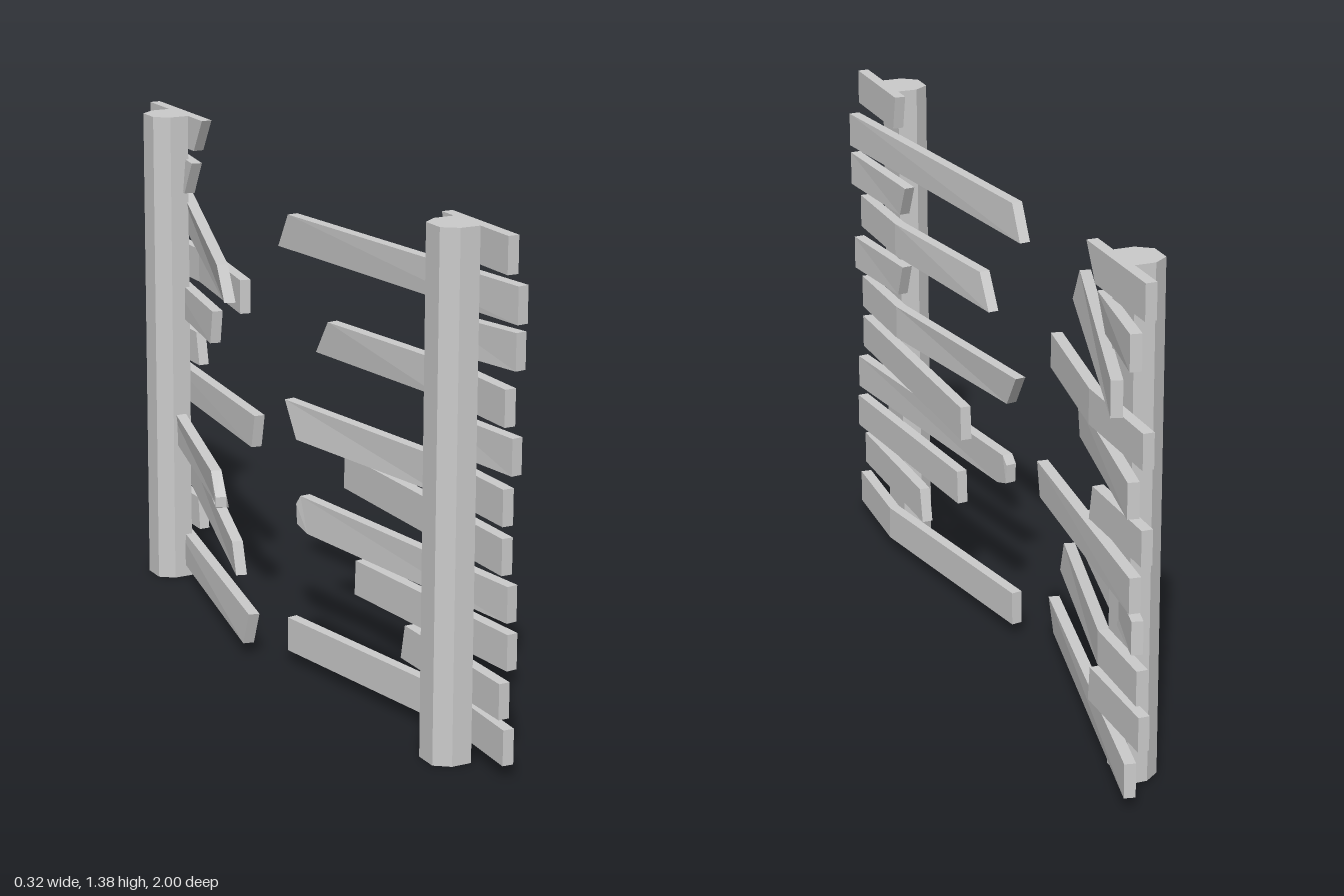
import * as THREE from 'three';

const POST_Z = 0.81, HEIGHT = 1.38, HALF_T = 0.015, PLANK_H = 0.095, STEP = 0.125;

// Fence post: half-octagon section, flat side towards the planks.
function makePost(material) {
  const shape = new THREE.Shape([
    [0.055, -0.063], [0.055, 0.063], [0, 0.063], [-0.04, 0.033], [-0.04, -0.033], [0, -0.063],
  ].map(([x, y]) => new THREE.Vector2(x, y)));
  const geo = new THREE.ExtrudeGeometry(shape, { depth: HEIGHT, bevelEnabled: false });
  geo.rotateX(-Math.PI / 2);
  return new THREE.Mesh(geo, material);
}

// Plank lofted through stations [x, zTop, zBottom, yTop, yBottom]; y is relative to its row.
function makePlank(row, stations, material) {
  const y0 = 0.035 + row * STEP;
  const list = stations.map(([x, zt, zb = zt, yt = PLANK_H, yb = 0]) => ({ x, zt, zb, yt: y0 + yt, yb: y0 + yb }));
  list.sort((a, b) => a.zt + a.zb - b.zt - b.zb);
  const rings = list.map((s, i) => {
    const a = list[Math.max(i - 1, 0)], b = list[Math.min(i + 1, list.length - 1)];
    const dx = b.x - a.x, dz = (b.zt + b.zb - a.zt - a.zb) / 2;
    const len = Math.hypot(dx, dz);
    const nx = HALF_T * dz / len, nz = -HALF_T * dx / len;
    return [
      [s.x - nx, s.yb, s.zb - nz], [s.x + nx, s.yb, s.zb + nz],
      [s.x + nx, s.yt, s.zt + nz], [s.x - nx, s.yt, s.zt - nz],
    ];
  });
  const pos = [];
  const quad = (a, b, c, d) => pos.push(...a, ...b, ...c, ...a, ...c, ...d);
  for (let i = 0; i < rings.length - 1; i++) {
    for (let k = 0; k < 4; k++) {
      const m = (k + 1) % 4;
      quad(rings[i][k], rings[i][m], rings[i + 1][m], rings[i + 1][k]);
    }
  }
  quad(...[...rings[0]].reverse());
  quad(...rings[rings.length - 1]);
  const geo = new THREE.BufferGeometry();
  geo.setAttribute('position', new THREE.Float32BufferAttribute(pos, 3));
  geo.computeVertexNormals();
  return new THREE.Mesh(geo, material);
}

// Rows from the ground up; each runs from its outer end to its broken end.
const FRONT_PLANKS = [
  [[0.085, 1], [0.1, 0.71], [-0.012, 0.027]],
  [[0.07, 1], [0.07, 0.53, 0.51]],
  [[0.09, 1], [0.03, 0.335, 0.33]],
  [[0.087, 1], [-0.022, 0.12, 0.16], [-0.027, 0.105, 0.11, 0.07, 0.015]],
  [[0.07, 1], [0.07, 0.2, 0.195]],
  [[0.07, 1], [0.07, 0.71], [-0.03, 0.045, 0.11]],
  [[0.092, 1], [0.058, 0.685, 0.725]],
  [[0.07, 1], [0.07, 0.71], [0.0, 0.23, 0.165]],
  [[0.1, 0.995, 0.995, 0.105, 0.01], [0.06, 0.65, 0.695, 0.09, 0]],
  [[0.1, 1], [-0.018, 0.04, -0.015]],
  [[0.07, 1], [0.07, 0.69, 0.71]],
];
const BACK_PLANKS = [
  [[0.103, -0.995], [-0.097, -0.035, -0.07]],
  [[0.07, -1], [0.07, -0.7, -0.69]],
  [[0.075, -0.995], [0.07, -0.75], [-0.11, -0.11, -0.085, 0.035, -0.055]],
  [[0.085, -0.985, -0.985, 0.1, 0.01], [-0.1, -0.26, -0.215, 0.07, -0.025], [-0.113, -0.205, -0.205, 0.01, -0.02]],
  [[0.095, -0.99], [0.02, -0.23, -0.25]],
  [[0.07, -1], [0.07, -0.705, -0.685]],
  [[0.103, -0.99], [0.0, -0.45, -0.465]],
  [[0.07, -1], [0.07, -0.68], [0.005, -0.285]],
  [[0.143, -0.975, -0.975, 0.105, 0.01], [-0.148, -0.115, -0.07, 0.065, -0.03]],
  [[0.102, -0.99], [0.05, -0.68, -0.73]],
  [[0.07, -1], [0.07, -0.655, -0.71]],
];

export function createModel() {
  const model = new THREE.Group();
  model.name = 'brokenFence';
  const wood = new THREE.MeshStandardMaterial({ color: 0xcccccc, flatShading: true });

  for (const [side, sign, planks] of [['front', 1, FRONT_PLANKS], ['back', -1, BACK_PLANKS]]) {
    const post = makePost(wood);
    post.name = side + 'Post';
    post.position.z = sign * POST_Z;
    model.add(post);

    const group = new THREE.Group();
    group.name = side + 'Planks';
    planks.forEach((stations, row) => {
      const plank = makePlank(row, stations, wood);
      plank.name = side + 'Plank' + (row + 1);
      group.add(plank);
    });
    model.add(group);
  }
  return model;
}
